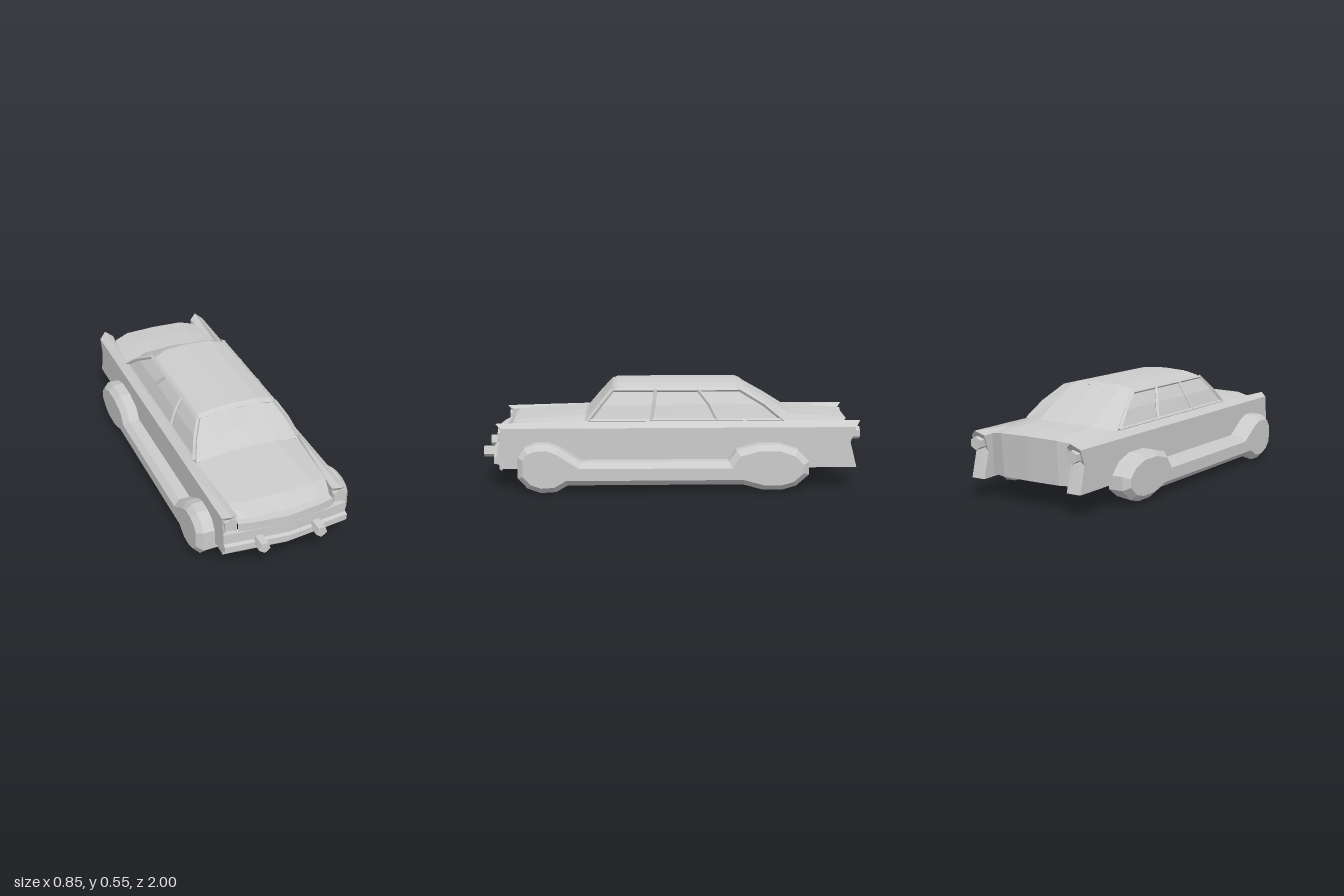
import * as THREE from 'three';

const mat = new THREE.MeshStandardMaterial({ color: 0xcccccc, flatShading: true, side: THREE.DoubleSide });

function add(parent, name, geo) {
  const mesh = new THREE.Mesh(geo, mat);
  mesh.name = name;
  parent.add(mesh);
  return mesh;
}

// Faceted skin over rows of [x, y, z] points; closed joins each row's ends.
function skin(rows, closed = false) {
  const n = rows[0].length, pos = [];
  for (let r = 0; r < rows.length - 1; r++) {
    for (let i = 0; i < (closed ? n : n - 1); i++) {
      const j = (i + 1) % n, a = rows[r][i], b = rows[r][j], c = rows[r + 1][j], d = rows[r + 1][i];
      pos.push(...a, ...b, ...c, ...a, ...c, ...d);
    }
  }
  const g = new THREE.BufferGeometry();
  g.setAttribute('position', new THREE.Float32BufferAttribute(pos, 3));
  g.computeVertexNormals();
  return g;
}

// Full-width row from its half, listed from the centre outwards.
const mirror = (half) => [...half.slice(1).reverse().map(([x, y, z]) => [-x, y, z]), ...half];

// Square bar between two points.
function bar(parent, name, a, b, w = 0.008) {
  const p = new THREE.Vector3(...a), q = new THREE.Vector3(...b);
  const mesh = add(parent, name, new THREE.CylinderGeometry(w, w, p.distanceTo(q), 4));
  mesh.position.copy(p).add(q).multiplyScalar(0.5);
  mesh.quaternion.setFromUnitVectors(new THREE.Vector3(0, 1, 0), q.sub(p).normalize());
}

// Prism along z, used for lamps and bumper guards.
function prism(parent, name, r, sides, x, y, z0, z1) {
  const mesh = add(parent, name, new THREE.CylinderGeometry(r, r, z1 - z0, sides));
  mesh.rotation.x = -Math.PI / 2;
  if (sides === 5) mesh.rotation.y = Math.PI;
  mesh.position.set(x, y, (z0 + z1) / 2);
}

// Move a closed (z, y) outline inwards with mitred corners.
function inset(pts, d) {
  const n = pts.length, v = pts.map((p) => new THREE.Vector2(...p));
  const turn = THREE.ShapeUtils.isClockWise(v) ? -1 : 1;
  return v.map((p, i) => {
    const e = p.clone().sub(v[(i + n - 1) % n]).normalize(), f = v[(i + 1) % n].clone().sub(p).normalize();
    const m = new THREE.Vector2(-e.y - f.y, e.x + f.x).multiplyScalar(turn);
    m.multiplyScalar(2 * d / m.lengthSq());
    return [p.x + m.x, p.y + m.y];
  });
}

// Flat cap of a (z, y) outline at a given x.
function cap(pts, x) {
  const g = new THREE.ShapeGeometry(new THREE.Shape(pts.map((p) => new THREE.Vector2(...p))));
  const p = g.attributes.position;
  for (let i = 0; i < p.count; i++) p.setXYZ(i, x, p.getY(i), p.getX(i));
  g.computeVertexNormals();
  return g;
}

// Wheels joined by the sill, as one bevelled outline.
function buildWheelsAndSill(side) {
  const outline = [
    [0.8, 0.08], [0.8, 0.19], [0.765, 0.235], [0.71, 0.256], [0.64, 0.258], [0.58, 0.235], [0.47, 0.163],
    [-0.3, 0.163], [-0.34, 0.22], [-0.45, 0.25], [-0.57, 0.25], [-0.66, 0.22], [-0.72, 0.16],
    [-0.72, 0.09], [-0.65, 0.03], [-0.58, 0.01], [-0.48, 0.01], [-0.37, 0.04],
    [0.54, 0.04], [0.6, 0.005], [0.68, 0], [0.75, 0.025],
  ];
  const face = inset(outline, 0.03);
  const inner = outline.map(([z, y]) => [z, Math.max(y, 0.04)]);
  const ring = (pts, x) => pts.map(([z, y]) => [x, y, z]);
  add(side, 'wheelsAndSill', skin([ring(inner, 0.315), ring(outline, 0.395), ring(face, 0.425)], true));
  add(side, 'wheelFace', cap(face, 0.425));
  add(side, 'wheelInnerFace', cap(inner, 0.315));
}

// Side panel with a ridge on top that ends in a tail fin.
function buildSidePanel(side) {
  const section = (inX, ridge, z) => {
    const [zb, zm, zt, zr] = z.length ? z : [z, z, z, z];
    return [
      [0.335, 0.115, zb], [0.335, 0.25, zm], [0.335, 0.33, zt], [0.295, ridge, zr],
      [inX, 0.335, zt], [inX, 0.25, zm], [inX, 0.115, zb],
    ];
  };
  const pocket = (y, z) => Array(7).fill([0.295, y, z]);
  add(side, 'sidePanel', skin([
    pocket(0.28, -0.94),
    section(0.255, 0.36, [-0.98, -0.945, -0.975, -1]),
    section(0.285, 0.362, -0.6),
    section(0.285, 0.362, 0.45),
    section(0.26, 0.35, [0.9, 0.9, 0.89, 0.92]),
    pocket(0.28, 0.87),
  ], true));
  prism(side, 'headlight', 0.036, 6, 0.295, 0.29, 0.86, 0.905);
  prism(side, 'tailLight', 0.034, 6, 0.295, 0.295, -0.995, -0.93);
  prism(side, 'bumperGuard', 0.032, 5, 0.155, 0.176, 0.91, 1);
}

// Pillars and window frames of one side.
function buildWindowFrames(side) {
  const at = (y, z) => [y > 0.44 ? 0.262 - (y - 0.44) * 0.6 : 0.293 - (y - 0.36) * 0.39, y, z];
  const post = (name, z0, zm, z1, w) => {
    bar(side, name, at(0.36, z0), at(0.44, zm), w);
    bar(side, name, at(0.44, zm), at(0.515, z1), w);
  };
  post('frontPillar', 0.435, 0.37, 0.305, 0.011);
  post('middlePillar', 0.105, 0.09, 0.08, 0.01);
  post('quarterPillar', -0.245, -0.205, -0.145, 0.01);
  post('rearPillar', -0.595, -0.495, -0.365, 0.011);
  bar(side, 'windowSill', at(0.363, 0.43), at(0.363, -0.59), 0.009);
  bar(side, 'windowHead', at(0.512, 0.305), at(0.512, -0.365), 0.009);
}

export function createModel() {
  const car = new THREE.Group();
  car.name = 'car';

  // Glasshouse: belt, middle and eave rings
  const ring = (half) => [...half, ...half.slice(1, -1).reverse().map(([x, y, z]) => [-x, y, z])];
  add(car, 'windows', skin([
    ring([[0, 0.375, 0.45], [0.16, 0.37, 0.45], [0.288, 0.35, 0.44], [0.292, 0.352, -0.6], [0.17, 0.372, -0.65], [0, 0.376, -0.66]]),
    ring([[0, 0.45, 0.375], [0.145, 0.448, 0.375], [0.255, 0.44, 0.365], [0.257, 0.44, -0.49], [0.16, 0.448, -0.53], [0, 0.45, -0.54]]),
    ring([[0, 0.536, 0.305], [0.13, 0.53, 0.305], [0.21, 0.514, 0.3], [0.21, 0.514, -0.36], [0.15, 0.53, -0.385], [0, 0.536, -0.39]]),
  ], true));

  // Roof, bowed across and turned down at its edges
  const roofRow = (z, zSide, drop) => mirror([
    [0, 0.55 - drop, z], [0.13, 0.543 - drop, z], [0.205, 0.525 - drop, zSide], [0.222, 0.512 - drop / 2, zSide],
  ]);
  add(car, 'roof', skin([
    roofRow(0.315, 0.305, 0.014), roofRow(0.285, 0.275, 0), roofRow(-0.365, -0.345, 0), roofRow(-0.395, -0.37, 0.012),
  ]));

  // Frames of windscreen and rear window
  for (const [name, pts] of [
    ['windscreenFrame', mirror([[0, 0.536, 0.307], [0.13, 0.53, 0.307], [0.205, 0.514, 0.302]])],
    ['windscreenBase', mirror([[0, 0.373, 0.452], [0.16, 0.368, 0.452], [0.286, 0.35, 0.442]])],
  ]) for (let i = 0; i < pts.length - 1; i++) bar(car, name, pts[i], pts[i + 1], 0.007);

  // Bonnet with its sloping lip and the shelf above the grille
  add(car, 'bonnet', skin([
    mirror([[0, 0.378, 0.44], [0.16, 0.373, 0.44], [0.29, 0.345, 0.44]]),
    mirror([[0, 0.355, 0.84], [0.18, 0.352, 0.835], [0.275, 0.338, 0.8]]),
    mirror([[0, 0.287, 0.895], [0.18, 0.287, 0.885], [0.258, 0.287, 0.865]]),
    mirror([[0, 0.285, 0.942], [0.18, 0.285, 0.922], [0.258, 0.285, 0.905]]),
    mirror([[0, 0.235, 0.942], [0.18, 0.235, 0.922], [0.258, 0.235, 0.905]]),
  ]));

  // Boot lid and rear panel
  add(car, 'boot', skin([
    mirror([[0, 0.378, -0.64], [0.17, 0.373, -0.635], [0.292, 0.35, -0.59]]),
    mirror([[0, 0.37, -0.8], [0.17, 0.367, -0.8], [0.275, 0.345, -0.78]]),
    mirror([[0, 0.355, -0.95], [0.17, 0.352, -0.945], [0.255, 0.338, -0.915]]),
    mirror([[0, 0.13, -0.935], [0.17, 0.13, -0.93], [0.255, 0.13, -0.905]]),
  ]));

  // Front bumper, a shallow V wrapped round the corners
  const bumperRow = (y, back) => mirror([
    [0, y, 0.963 - back], [0.25, y, 0.937 - back], [0.335, y, 0.927 - back], [0.335, y, 0.885],
  ]);
  add(car, 'frontBumper', skin([
    bumperRow(0.24, 0.05), bumperRow(0.24, 0.02), bumperRow(0.183, 0.02), bumperRow(0.178, 0),
    bumperRow(0.145, 0), bumperRow(0.14, 0.025), bumperRow(0.108, 0.035),
  ]));

  // Left side, then its mirror image
  const side = new THREE.Group();
  side.name = 'leftSide';
  buildWheelsAndSill(side);
  buildSidePanel(side);
  buildWindowFrames(side);
  const other = side.clone();
  other.name = 'rightSide';
  other.scale.x = -1;
  car.add(side, other);
  return car;
}
